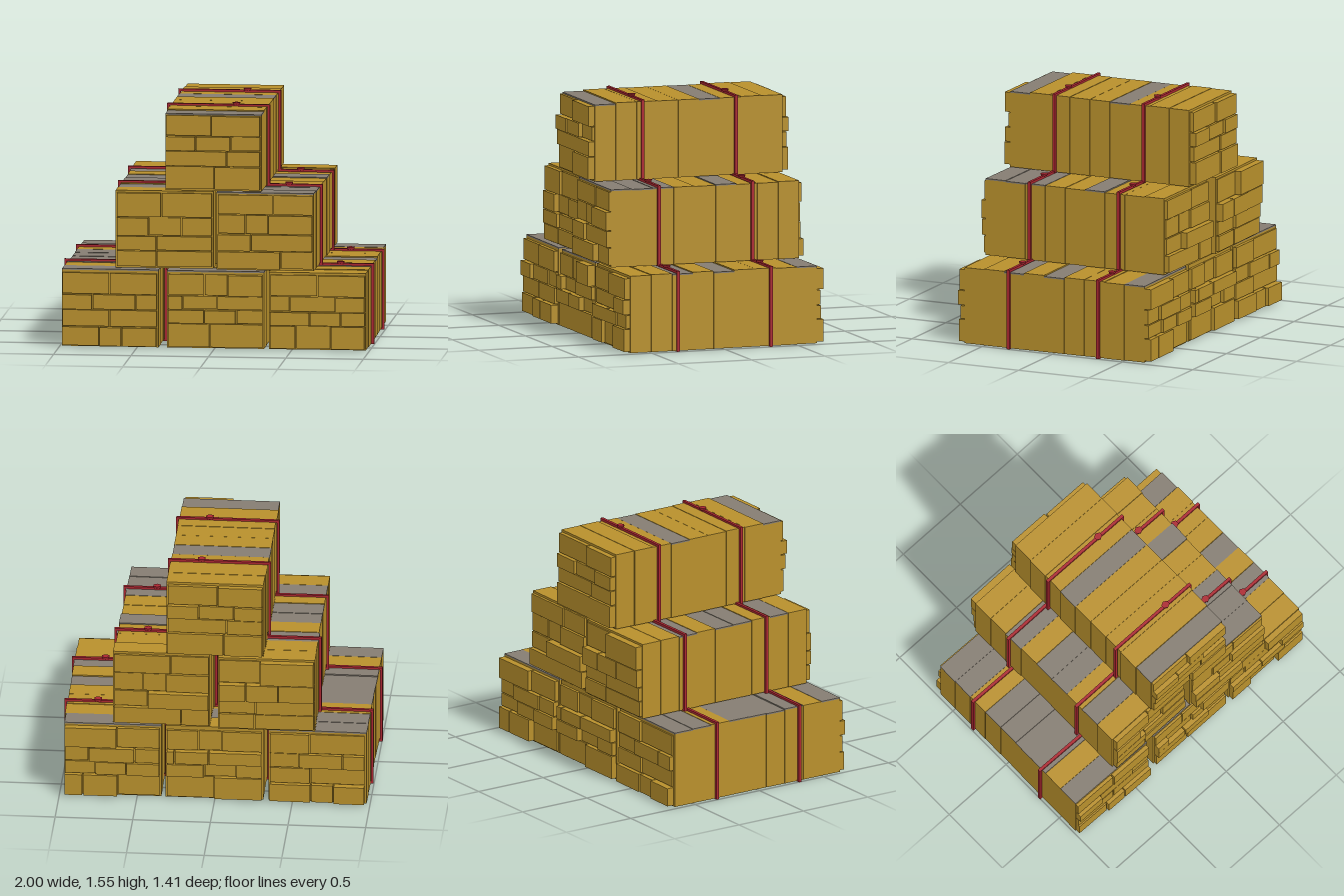
import * as THREE from 'three';

const straw = new THREE.MeshStandardMaterial({ color: 0xb8902c });
straw.name = 'straw';
const grey = new THREE.MeshStandardMaterial({ color: 0x857d72 });
grey.name = 'weatheredGrey';
const red = new THREE.MeshStandardMaterial({ color: 0xaa2630 });
red.name = 'strapRed';

// Small seeded generator for hand-made irregularity
let seed = 7;
function rand(min, max) {
  seed = (seed * 16807) % 2147483647;
  return min + (max - min) * (seed / 2147483647);
}

function box(parent, name, mat, [x0, x1], [y0, y1], [z0, z1]) {
  const mesh = new THREE.Mesh(new THREE.BoxGeometry(x1 - x0, y1 - y0, z1 - z0), mat);
  mesh.position.set((x0 + x1) / 2, (y0 + y1) / 2, (z0 + z1) / 2);
  mesh.name = name;
  parent.add(mesh);
  return mesh;
}

const HALF_W = 0.314, HALF_L = 0.64, SLICES = 9, STRAP_Z = 0.318;

// x, y, z, yaw, weathered slices (from the back), row heights, vertical splits per row (bottom up)
const bales = [
  { name: 'bottomLeftBale', pos: [-0.668, 0, 0], yaw: -0.012, grey: [0, 1, 3, 4, 5, 6, 8],
    rows: [0.01, 0.135, 0.245, 0.345, 0.485], splits: [[-0.065, 0.08], [0], [-0.11, 0.17], [0]] },
  { name: 'bottomMiddleBale', pos: [0.005, 0, 0], yaw: 0.004, grey: [1, 4, 8],
    rows: [0.01, 0.165, 0.255, 0.345, 0.485], splits: [[-0.035], [-0.07, 0.135], [-0.21, 0.01], [-0.07, 0.08]] },
  { name: 'bottomRightBale', pos: [0.664, 0, 0], yaw: 0.005, grey: [0, 4, 6],
    rows: [0.01, 0.16, 0.25, 0.35, 0.49], splits: [[-0.14, 0.085], [-0.05, 0.15], [-0.18, 0.115], [0]] },
  { name: 'middleLeftBale', pos: [-0.33, 0.51, -0.03], yaw: 0.008, grey: [2, 4, 5, 7],
    rows: [0.015, 0.12, 0.215, 0.335, 0.495], splits: [[-0.05], [-0.05], [-0.1, 0.11], [-0.02]] },
  { name: 'middleRightBale', pos: [0.337, 0.51, 0.005], yaw: -0.01, grey: [3, 6, 7, 8],
    rows: [0.015, 0.13, 0.24, 0.365, 0.495], splits: [[0.1], [-0.09], [-0.13, 0.02], [0.05]] },
  { name: 'topBale', pos: [-0.006, 1.02, -0.005], yaw: -0.004, grey: [3, 8],
    rows: [0.015, 0.165, 0.265, 0.36, 0.495], splits: [[0.01], [0.09], [-0.11, 0.115], [-0.01]] },
];

// Compressed slices of the bale, some with a weathered top
function addSlices(bale, greyIds) {
  const step = (2 * HALF_L) / SLICES;
  for (let i = 0; i < SLICES; i++) {
    const z0 = -HALF_L + i * step;
    const x = [-HALF_W + rand(-0.003, 0.006), HALF_W + rand(-0.006, 0.003)];
    const z = [z0 + 0.0008, z0 + step - 0.0008];
    const top = rand(0.501, 0.509);
    const weathered = greyIds.includes(i);
    box(bale, 'slice', straw, x, [0.004, weathered ? top - 0.009 : top], z);
    if (weathered) box(bale, 'weatheredTop', grey, x, [top - 0.009, top], z);
  }
}

// Staggered straw blocks standing out of one end
function addEnd(bale, rows, splits, side) {
  splits.forEach((row, r) => {
    const shift = side < 0 ? rand(-0.06, 0.06) : 0;
    const edges = [-0.308, ...row.map((s) => s * side + shift).sort((a, b) => a - b), 0.308];
    for (let i = 0; i < edges.length - 1; i++) {
      const out = HALF_L + rand(0.008, 0.05);
      const z = side > 0 ? [HALF_L - 0.02, out] : [-out, -HALF_L + 0.02];
      box(bale, 'endBlock', straw, [edges[i] + 0.004, edges[i + 1] - 0.004],
        [rows[r] + 0.003, rows[r + 1] - 0.003], z);
    }
  });
}

// Band around the bale with a knot on top
function addStrap(bale, z) {
  const strap = new THREE.Group();
  strap.name = 'strap';
  bale.add(strap);
  const zr = [z - 0.01, z + 0.01];
  const w = HALF_W + 0.018;
  box(strap, 'strapTop', red, [-w, w], [0.506, 0.522], zr);
  box(strap, 'strapBottom', red, [-w, w], [0, 0.012], zr);
  for (const s of [-1, 1]) {
    const x = [s * w, s * (w - 0.016)].sort((a, b) => a - b);
    box(strap, 'strapSide', red, x, [0.012, 0.506], zr);
  }
  const knot = new THREE.Mesh(new THREE.CylinderGeometry(0.028, 0.024, 0.015, 6), red);
  knot.name = 'knot';
  knot.position.set(0.115, 0.526, z);
  knot.scale.z = 0.9;
  strap.add(knot);
}

export function createModel() {
  const model = new THREE.Group();
  model.name = 'strawBaleStack';
  for (const b of bales) {
    const bale = new THREE.Group();
    bale.name = b.name;
    bale.position.set(...b.pos);
    bale.rotation.y = b.yaw;
    addSlices(bale, b.grey);
    addEnd(bale, b.rows, b.splits, 1);
    addEnd(bale, b.rows, b.splits, -1);
    addStrap(bale, STRAP_Z);
    addStrap(bale, -STRAP_Z);
    model.add(bale);
  }
  return model;
}
